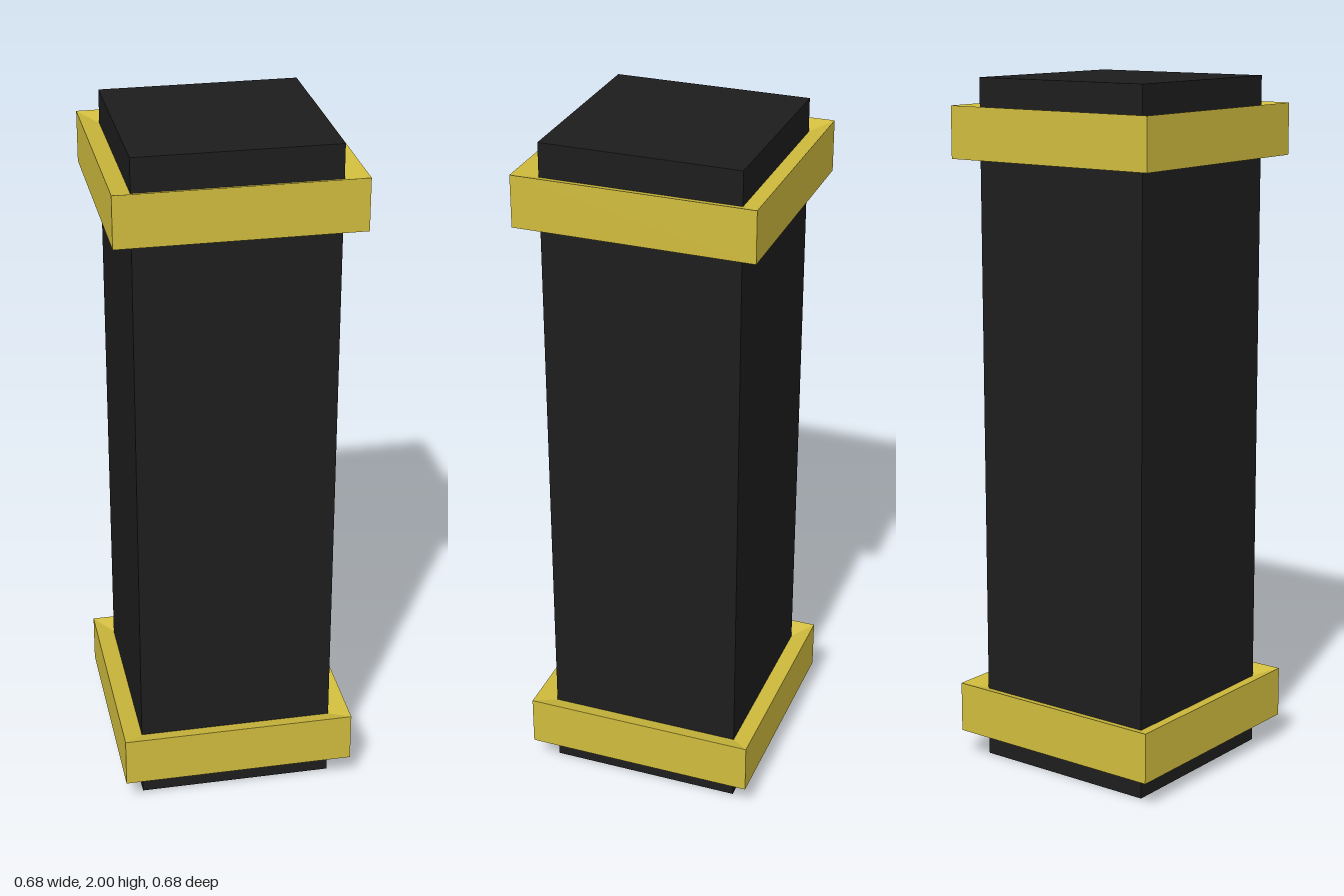
import * as THREE from 'three';

const CORE = 0.283; // half width of the pillar
const BAND = 0.34;  // half width of the bands
const HALF_HEIGHT = 0.074;
const DISH = 0.02;  // how far the band's faces sink toward the pillar

// Square collar: a four-sided lathe whose top and bottom slope inward
function makeBand(material) {
  const profile = [
    [CORE, -HALF_HEIGHT + DISH],
    [BAND, -HALF_HEIGHT],
    [BAND, HALF_HEIGHT],
    [CORE, HALF_HEIGHT - DISH],
  ].map(([half, y]) => new THREE.Vector2(half * Math.SQRT2, y));
  const geometry = new THREE.LatheGeometry(profile, 4).rotateY(Math.PI / 4);
  return new THREE.Mesh(geometry, material);
}

export function createModel() {
  const model = new THREE.Group();
  model.name = 'bandedPillar';

  const dark = new THREE.MeshStandardMaterial({ color: 0x1d1d1d });
  const gold = new THREE.MeshStandardMaterial({ color: 0xd0bc3d, flatShading: true });

  // Square pillar
  const pillar = new THREE.Mesh(new THREE.BoxGeometry(CORE * 2, 2, CORE * 2), dark);
  pillar.name = 'pillar';
  pillar.position.y = 1;
  model.add(pillar);

  // Bands near both ends
  for (const [name, y] of [['lowerBand', 0.151], ['upperBand', 1.849]]) {
    const band = makeBand(gold);
    band.name = name;
    band.position.y = y;
    model.add(band);
  }
  return model;
}
